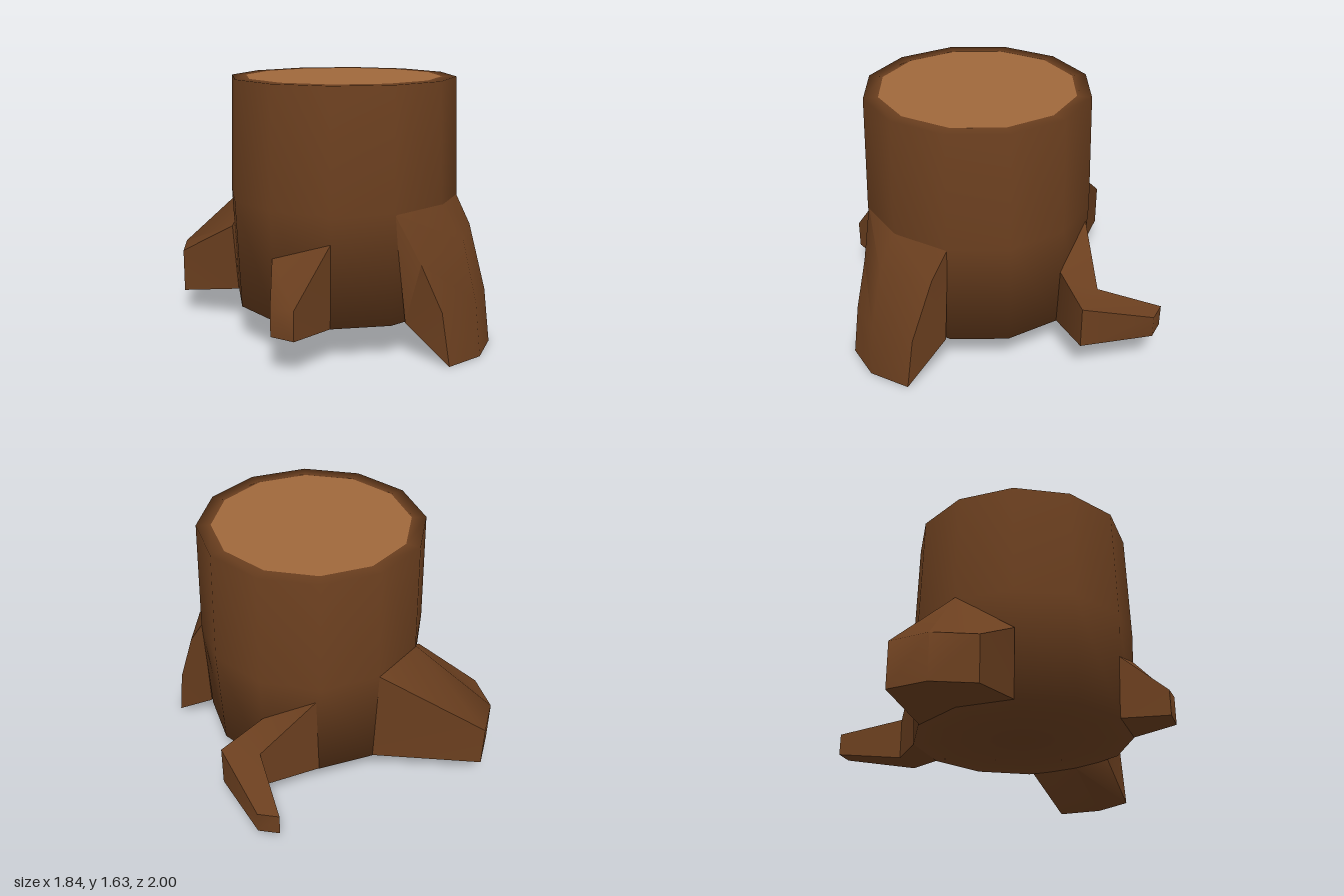
import * as THREE from 'three';
import { toCreasedNormals } from 'three/addons/utils/BufferGeometryUtils.js';

const bark = new THREE.MeshStandardMaterial({ color: 0x6b3f1f });
const wood = new THREE.MeshStandardMaterial({ color: 0xa0683c });
const CX = -0.04, CZ = 0.085, SIDES = 12;

// Closed solid through a row of equal-length loops, capped at both ends
function loft(sections) {
  const n = sections[0].length, last = (sections.length - 1) * n;
  const p = sections.flat();
  const tris = [];
  for (let s = 0; s < last; s += n) {
    for (let i = 0; i < n; i++) {
      const j = (i + 1) % n;
      tris.push([s + i, s + j, s + n + j], [s + i, s + n + j, s + n + i]);
    }
  }
  for (let i = 0; i < n - 2; i++) {
    tris.push([n - 1, i + 1, i], [last + n - 1, last + i, last + i + 1]);
  }
  // A negative volume means the faces point inward, so turn them round
  const v = p.map((q) => new THREE.Vector3(...q));
  const volume = tris.reduce((sum, [a, b, c]) => sum + v[a].dot(v[b].clone().cross(v[c])), 0);
  if (volume < 0) tris.forEach((t) => t.reverse());
  const g = new THREE.BufferGeometry();
  g.setAttribute('position', new THREE.Float32BufferAttribute(p.flat(), 3));
  g.setIndex(tris.flat());
  return toCreasedNormals(g, 1.0);
}

export function createModel() {
  const group = new THREE.Group();
  const add = (name, geometry, material) => {
    const mesh = new THREE.Mesh(geometry, material);
    mesh.name = name;
    group.add(mesh);
    return mesh;
  };

  // Trunk with closed underside and a flat bark rim
  const profile = [[0, 0.22], [0.69, 0.22], [0.72, 0.9], [0.7, 1.63], [0.61, 1.63]]
    .map(([r, y]) => new THREE.Vector2(r, y));
  add('trunk', new THREE.LatheGeometry(profile, SIDES), bark).position.set(CX, 0, CZ);

  // Cut face
  const cut = add('cutFace', new THREE.CircleGeometry(0.61, SIDES), wood);
  cut.rotation.x = -Math.PI / 2;
  cut.position.set(CX, 1.63, CZ);

  // Front root: three side-by-side profiles from trunk to toe and back
  add('frontRoot', loft([
    [[-0.04, 0.9, 0.8], [0.1, 0.6, 0.87], [0.2, 0.32, 0.95], [0.23, 0, 0.995], [0.06, 0.22, 0.76]],
    [[0.31, 0.92, 0.7], [0.41, 0.7, 0.82], [0.46, 0.33, 0.9], [0.48, 0, 0.93], [0.3, 0.22, 0.65]],
    [[0.58, 0.9, 0.44], [0.62, 0.72, 0.55], [0.655, 0.33, 0.69], [0.67, 0, 0.735], [0.55, 0.22, 0.46]],
  ]), bark);

  // Short stub at the front right
  add('stubRoot', loft([
    [[-0.65, 0.62, 0.43], [-0.765, 0.4, 0.7], [-0.765, 0.24, 0.7], [-0.64, 0.22, 0.43]],
    [[-0.39, 0.74, 0.7], [-0.665, 0.41, 0.805], [-0.665, 0.23, 0.805], [-0.39, 0.22, 0.68]],
  ]), bark);

  // Broad root at the back
  add('backRoot', loft([
    [[-0.67, 0.65, -0.27], [-0.92, 0.43, -0.59], [-0.92, 0.15, -0.59], [-0.64, 0.22, -0.26]],
    [[-0.4, 0.92, -0.53], [-0.83, 0.43, -0.84], [-0.83, 0.15, -0.84], [-0.39, 0.22, -0.51]],
    [[-0.04, 0.9, -0.63], [-0.635, 0.43, -1], [-0.635, 0.15, -1], [-0.04, 0.22, -0.6]],
  ]), bark);

  // Bent root: trunk, elbow, tip
  add('bentRoot', loft([
    [[0.57, 0.6, -0.27], [0.3, 0.82, -0.52], [0.3, 0.22, -0.51], [0.55, 0.22, -0.26]],
    [[0.885, 0.53, -0.3], [0.71, 0.53, -0.465], [0.71, 0.26, -0.465], [0.885, 0.26, -0.3]],
    [[0.915, 0.4, -0.76], [0.82, 0.4, -0.85], [0.82, 0.26, -0.85], [0.915, 0.26, -0.76]],
  ]), bark);

  return group;
}
